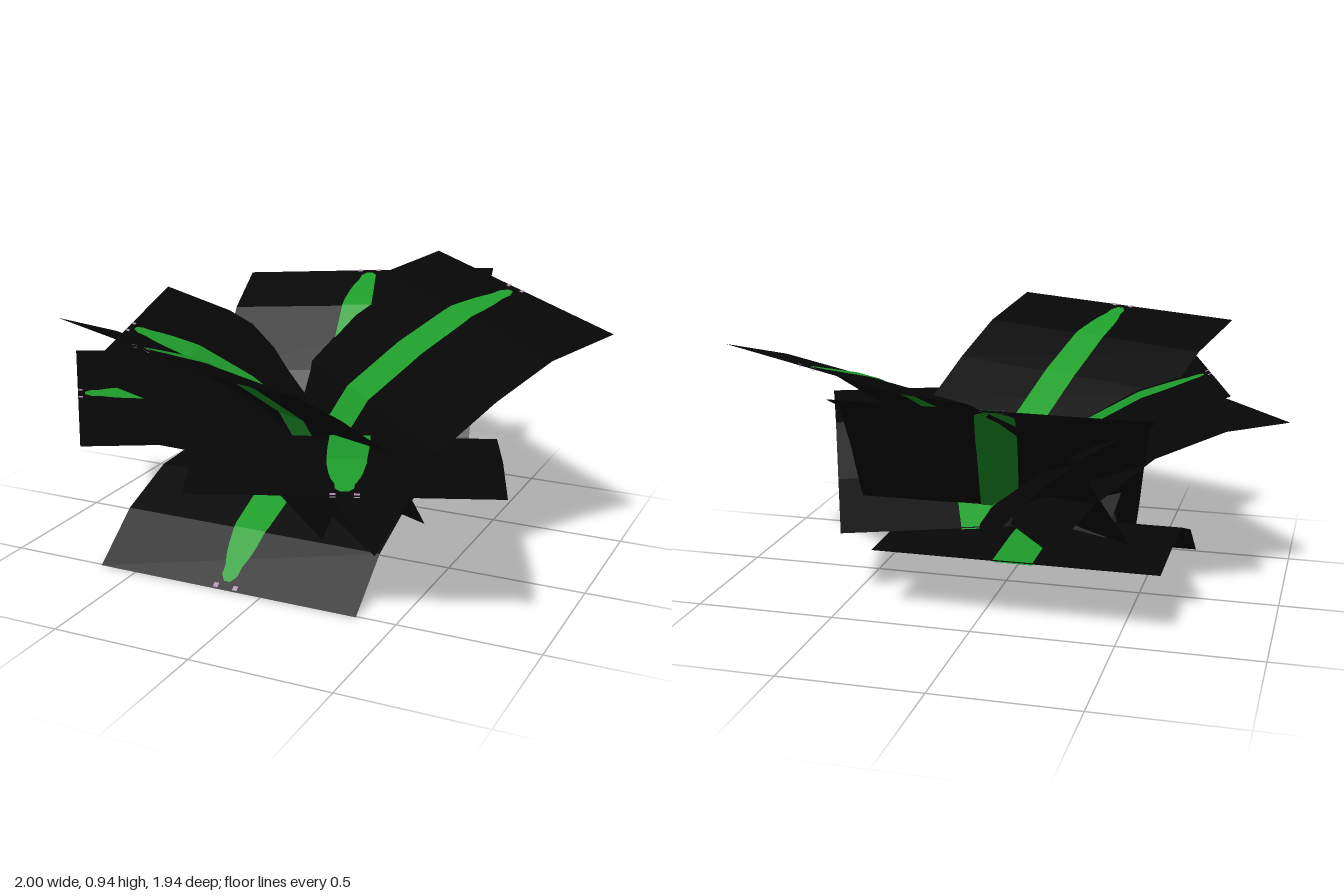
import * as THREE from 'three';

const make = (name, color) => {
  const m = new THREE.MeshStandardMaterial({ color, side: THREE.DoubleSide, flatShading: true });
  m.name = name;
  return m;
};

// Each frond: tip centre on the ground plan, outward direction, width,
// sideways tilt, and [distance back from tip, height] down to the base.
const FRONDS = [
  { name: 'largeBackFrond', tip: [0.535, -0.575], dir: [0.65, -0.76], width: 1.22, roll: -0.055,
    rows: [[0, 0.905], [0.24, 0.84], [0.45, 0.725], [0.66, 0.58], [0.89, 0.255]] },
  { name: 'frontRightFrond', tip: [-0.29, 0.755], dir: [-0.42, 0.9], width: 1, roll: 0,
    rows: [[0, 0.915], [0.23, 0.83], [0.42, 0.71], [0.62, 0.56], [0.8, 0.26]] },
  { name: 'rightFrond', tip: [-0.71, 0.155], dir: [-0.97, 0.24], width: 1, roll: 0.07,
    rows: [[0, 0.795], [0.25, 0.71], [0.45, 0.6], [0.62, 0.47], [0.82, 0.26]] },
  { name: 'lowRightFrond', tip: [-0.715, 0.49], dir: [-0.82, 0.57], width: 1, roll: 0.04,
    rows: [[0, 0.63], [0.25, 0.62], [0.52, 0.55], [0.74, 0.41], [0.9, 0.26]] },
  { name: 'backFrond', tip: [-0.165, -0.82], dir: [-0.22, -0.97], width: 1, roll: 0.065,
    rows: [[0, 0.86], [0.26, 0.775], [0.5, 0.58], [0.7, 0.38], [0.85, 0.25]] },
  { name: 'lowFrontFrond', tip: [0.43, 0.77], dir: [0.37, 0.92], width: 1, roll: 0,
    rows: [[0, 0.535], [0.25, 0.565], [0.55, 0.54], [0.78, 0.385], [1.03, 0.26]] },
  { name: 'groundFrond', tip: [-0.14, 0.51], dir: [0, 1], width: 1, roll: 0,
    rows: [[0, 0], [0.2, 0.15], [0.45, 0.24], [0.71, 0.25], [0.97, 0.245]] },
];

// Half width of the green blade by distance from the tip (both per unit width)
const BLADE = [[0.025, 0.012], [0.045, 0.03], [0.075, 0.032], [0.11, 0.046], [0.15, 0.055], [0.22, 0.065], [0.4, 0.07], [2, 0.068]];

function interpolate(table, t) {
  let i = 1;
  while (i < table.length - 1 && t > table[i][0]) i++;
  const [a, b] = [table[i - 1], table[i]];
  return a[1] + (b[1] - a[1]) * (t - a[0]) / (b[0] - a[0]);
}

// Point on a frond: s back from the tip, u across, lift off the surface
function pointOn(f, s, u, lift) {
  const [dx, dz] = f.dir;
  const across = u * f.width;
  return [
    f.tip[0] - dx * s - dz * across,
    interpolate(f.rows, s) + f.roll * u + lift,
    f.tip[1] - dz * s + dx * across,
  ];
}

// Strip between matching left and right edges
function strip(f, stations, lift) {
  const pos = [];
  const index = [];
  stations.forEach(([s, u0, u1], i) => {
    pos.push(...pointOn(f, s, u0, lift), ...pointOn(f, s, u1, lift));
    if (i) {
      const k = 2 * i;
      index.push(k - 2, k - 1, k, k - 1, k + 1, k);
    }
  });
  const g = new THREE.BufferGeometry();
  g.setAttribute('position', new THREE.Float32BufferAttribute(pos, 3));
  g.setIndex(index);
  g.computeVertexNormals();
  return g;
}

export function createModel() {
  const dark = make('dark sheet', 0x060606);
  const green = make('leaf green', 0x1e9d2b);
  const mauve = make('pale mauve', 0xa98aa9);
  const model = new THREE.Group();
  model.name = 'plant';

  for (const f of FRONDS) {
    const group = new THREE.Group();
    group.name = f.name;
    const add = (name, geometry, material) => {
      const mesh = new THREE.Mesh(geometry, material);
      mesh.name = name;
      group.add(mesh);
    };

    // Broad bent sheet
    add('sheet', strip(f, f.rows.map(([s]) => [s, -0.5, 0.5]), 0), dark);

    // Green blade, following every bend of the sheet, on both faces
    const end = f.rows[f.rows.length - 1][0];
    const cuts = [...BLADE.map(([t]) => t * f.width), ...f.rows.map(([s]) => s)]
      .filter((s) => s >= BLADE[0][0] * f.width && s <= end)
      .sort((a, b) => a - b)
      .filter((s, i, all) => !i || s - all[i - 1] > 1e-4);
    const stations = cuts.map((s) => {
      const h = interpolate(BLADE, s / f.width);
      return [s, -h, h];
    });
    for (const [side, lift] of [['upper', 0.004], ['lower', -0.004]]) {
      add(side + 'Blade', strip(f, stations, lift), green);
      // Small pale flecks beside the tip
      for (const u of [-0.04, 0.035]) {
        add(side + 'Fleck', strip(f, [[0.002, u - 0.009, u + 0.009], [0.016, u - 0.009, u + 0.009]], lift), mauve);
      }
    }
    model.add(group);
  }
  return model;
}
